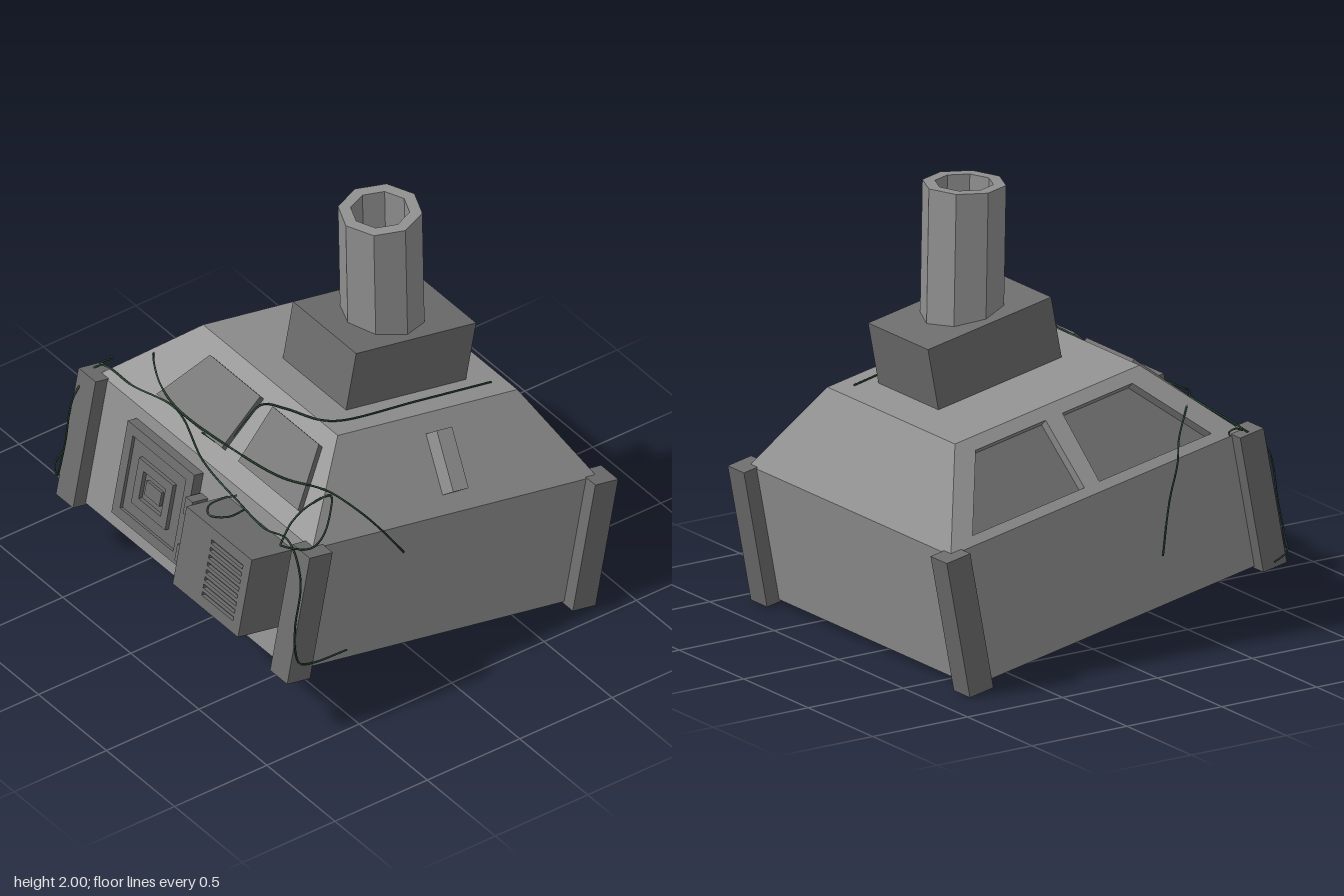
import * as THREE from 'three';

const wallMat = new THREE.MeshStandardMaterial({ color: 0x909090, flatShading: true });
const trimMat = new THREE.MeshStandardMaterial({ color: 0x6c6c6c, flatShading: true });
const cableMat = new THREE.MeshStandardMaterial({ color: 0x23402c });

const HALF = 0.783, TOP_HALF = 0.495;   // half widths of body and roof top
const BASE = 0.172, EAVE = 0.802, RIDGE = 1.15;
const RUN = HALF - TOP_HALF, RISE = RIDGE - EAVE;
const SLOPE = Math.hypot(RUN, RISE);

function add(parent, name, geometry, material, x = 0, y = 0, z = 0) {
  const mesh = new THREE.Mesh(geometry, material);
  mesh.name = name;
  mesh.position.set(x, y, z);
  parent.add(mesh);
  return mesh;
}

function box(parent, name, material, w, h, d, x, y, z) {
  return add(parent, name, new THREE.BoxGeometry(w, h, d), material, x, y, z);
}

function polygon(points) {
  return new THREE.Shape(points.map(([x, y]) => new THREE.Vector2(x, y)));
}

function rect(w, h, x = 0, y = 0) {
  return polygon([[x - w / 2, y - h / 2], [x + w / 2, y - h / 2], [x + w / 2, y + h / 2], [x - w / 2, y + h / 2]]);
}

function slab(shape, depth, holes = []) {
  shape.holes.push(...holes);
  return new THREE.ExtrudeGeometry(shape, { depth, bevelEnabled: false });
}

function frame(w, h, border, depth) {
  return slab(rect(w, h), depth, [rect(w - 2 * border, h - 2 * border)]);
}

// Frame on one side: x runs along the wall, z points outward
function side(parent, name, angle) {
  const turn = new THREE.Group();
  turn.rotation.y = angle;
  const face = new THREE.Group();
  face.name = name;
  face.position.z = HALF;
  turn.add(face);
  parent.add(turn);
  return face;
}

// Same, but lying on the roof slope, with y running up it from the eave
function roofSide(parent, name, angle) {
  const face = side(parent, name, angle);
  face.position.y = EAVE;
  face.rotation.x = -Math.atan2(RUN, RISE);
  return face;
}

function trapezoid() {
  return polygon([[-HALF, 0], [HALF, 0], [TOP_HALF, SLOPE], [-TOP_HALF, SLOPE]]);
}

function buildRoof(house) {
  const front = roofSide(house, 'roofFront', 0);
  const right = roofSide(house, 'roofRight', -Math.PI / 2);
  const left = roofSide(house, 'roofLeft', Math.PI / 2);
  for (const face of [front, right, left]) add(face, 'roofSlope', new THREE.ShapeGeometry(trapezoid()), wallMat);

  // Rear slope with two sunken panels
  const back = roofSide(house, 'roofBack', Math.PI);
  const pockets = [-1, 1].map((s) => polygon([[0.04 * s, 0.045], [0.64 * s, 0.045], [0.42 * s, 0.39], [0.045 * s, 0.39]]));
  add(back, 'rearSlope', slab(trapezoid(), 0.055, pockets), wallMat, 0, 0, -0.055);
  add(back, 'rearPanelFloor', new THREE.ShapeGeometry(trapezoid()), trimMat, 0, 0, -0.053);

  // Raised plates on one slope and a bar on the front
  const plates = [
    [[-0.433, 0.09], [0.047, 0.09], [0.037, 0.37], [-0.333, 0.37]],
    [[0.167, 0.09], [0.607, 0.09], [0.467, 0.37], [0.127, 0.37]],
  ];
  for (const p of plates) add(right, 'roofPlate', slab(polygon(p), 0.03), trimMat);
  box(front, 'roofBar', wallMat, 0.084, 0.277, 0.1, 0.004, 0.225, 0.035);

  const top = add(house, 'roofTop', new THREE.PlaneGeometry(2 * TOP_HALF, 2 * TOP_HALF), wallMat, 0, RIDGE, 0);
  top.rotation.x = -Math.PI / 2;
}

function buildSideWall(house) {
  const wall = side(house, 'equipmentWall', -Math.PI / 2);

  // Hatch with a framed window
  const hatch = new THREE.Group();
  hatch.name = 'hatch';
  hatch.position.set(-0.248, 0.505, 0);
  wall.add(hatch);
  add(hatch, 'hatchFrame', frame(0.49, 0.47, 0.05, 0.05), trimMat);
  box(hatch, 'hatchPanel', trimMat, 0.4, 0.38, 0.04, 0, 0, 0.015);
  add(hatch, 'hatchWindowFrame', frame(0.25, 0.23, 0.045, 0.055), trimMat);
  box(hatch, 'hatchWindow', trimMat, 0.11, 0.07, 0.05, 0, 0, 0.025);
  for (const y of [0.36, 0.6]) {
    box(wall, 'hingeLeaf', trimMat, 0.117, 0.06, 0.07, 0.057, y, 0.035);
    box(wall, 'hingePin', trimMat, 0.05, 0.085, 0.085, 0.03, y, 0.0425);
  }

  // Equipment box with a slotted vent
  box(wall, 'equipmentBox', trimMat, 0.48, 0.396, 0.206, 0.417, 0.528, 0.103);
  const slots = [];
  for (let i = 0; i < 8; i++) slots.push(rect(0.23, 0.02, 0.075, (i - 3.5) * 0.038));
  add(wall, 'ventFace', slab(rect(0.48, 0.396), 0.022, slots), trimMat, 0.417, 0.528, 0.204);
}

function cable(parent, name, points) {
  const curve = new THREE.CatmullRomCurve3(points.map((p) => new THREE.Vector3(...p)));
  add(parent, name, new THREE.TubeGeometry(curve, points.length * 8, 0.0045, 6), cableMat);
}

export function createModel() {
  const model = new THREE.Group();
  model.name = 'tiltedHut';

  // Everything but the pipe and cables leans to one side
  const tilt = new THREE.Group();
  tilt.rotation.z = -0.19;
  model.add(tilt);
  const house = new THREE.Group();
  house.name = 'house';
  house.position.set(-0.03, 0, 0.073);
  tilt.add(house);

  box(house, 'body', wallMat, 2 * HALF, EAVE - BASE, 2 * HALF, 0, (EAVE + BASE) / 2, 0);
  for (const sx of [-1, 1]) for (const sz of [-1, 1]) {
    box(house, 'cornerPost', trimMat, 0.126, 0.647, 0.126, 0.787 * sx, 0.485, 0.787 * sz);
  }
  buildRoof(house);
  buildSideWall(house);
  box(house, 'chimneyBase', trimMat, 0.661, 0.31, 0.465, 0, 1.285, 0.104);

  // Hollow octagonal chimney
  const profile = [[0.186, 0], [0.186, 0.7], [0.13, 0.7], [0.13, 0.2], [0, 0.2]];
  const pipe = add(model, 'chimneyPipe',
    new THREE.LatheGeometry(profile.map(([r, y]) => new THREE.Vector2(r, y)), 8), wallMat, 0.229, 1.297, 0.182);
  pipe.rotation.z = 0.02;

  // Loose cables draped over the roof and wall
  cable(model, 'roofCable', [
    [0.6, 1.06, 0.475], [0.2, 1.14, 0.48], [-0.22, 1.218, 0.475], [-0.3, 1.232, 0.43], [-0.35, 1.205, 0.25],
    [-0.39, 1.17, 0.13], [-0.46, 1.11, 0.115], [-0.57, 1.02, 0.1], [-0.6, 1.02, -0.02],
  ]);
  cable(model, 'longCable', [
    [-0.22, 0.45, -0.72], [-0.24, 0.7, -0.74], [-0.28, 0.87, -0.745], [-0.33, 0.95, -0.68], [-0.43, 1.05, -0.59],
    [-0.51, 1.09, -0.5], [-0.57, 1.06, -0.37], [-0.6, 1.04, -0.2], [-0.585, 1.05, 0.2], [-0.55, 1.07, 0.5],
    [-0.47, 1.1, 0.73], [-0.4, 1.04, 0.86], [-0.3, 0.91, 0.89], [-0.16, 0.71, 0.865],
  ]);
  cable(model, 'wallCable', [
    [-0.65, 0.4, -0.945], [-0.77, 0.41, -0.87], [-0.83, 0.43, -0.77], [-0.805, 0.6, -0.75], [-0.752, 0.85, -0.75],
    [-0.63, 0.96, -0.74], [-0.62, 0.99, -0.5], [-0.6, 1.03, -0.2], [-0.68, 0.97, 0.1], [-0.7, 0.93, 0.4],
    [-0.72, 0.93, 0.6], [-0.72, 0.97, 0.78], [-0.752, 0.85, 0.91], [-0.795, 0.62, 0.928], [-0.8, 0.5, 0.937],
    [-0.775, 0.42, 0.94], [-0.7, 0.395, 0.94], [-0.52, 0.38, 0.935],
  ]);
  cable(model, 'boxLoop', [
    [-0.7, 0.92, 0.43], [-0.78, 0.91, 0.42], [-0.84, 0.91, 0.36], [-0.81, 0.92, 0.315], [-0.74, 0.93, 0.32], [-0.69, 0.95, 0.36],
  ]);
  cable(model, 'frontLoop', [
    [-0.76, 0.96, 0.77], [-0.66, 1.01, 0.72], [-0.56, 1.05, 0.71], [-0.46, 1.075, 0.735], [-0.5, 1.05, 0.79],
    [-0.6, 1.0, 0.87], [-0.68, 0.98, 0.89], [-0.74, 0.97, 0.83], [-0.76, 0.96, 0.77],
  ]);
  cable(model, 'rearHook', [[-0.54, 0.95, -0.77], [-0.55, 0.96, -0.745], [-0.59, 0.97, -0.74], [-0.62, 0.96, -0.75]]);

  return model;
}
